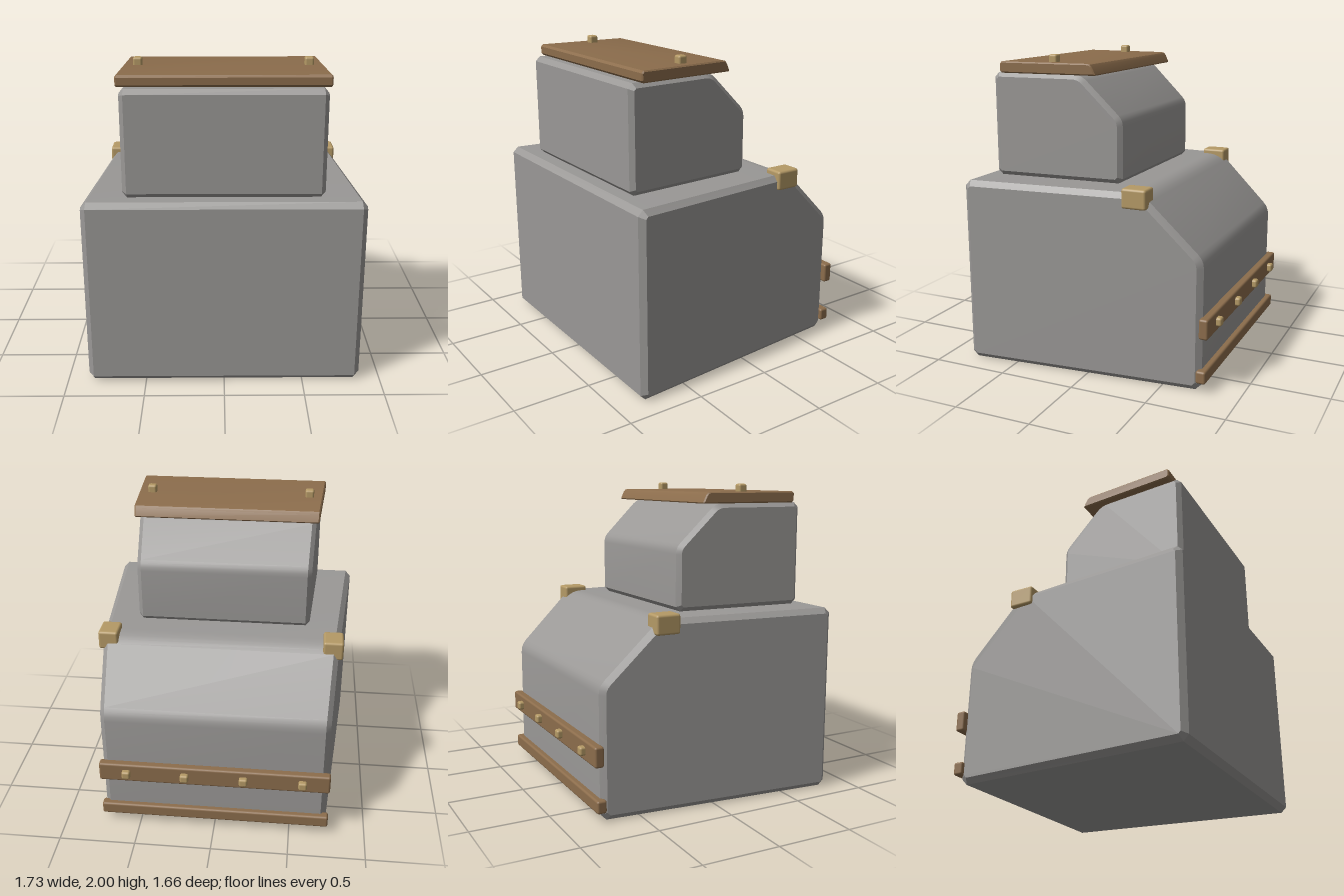
import * as THREE from 'three';
import { toCreasedNormals } from 'three/addons/utils/BufferGeometryUtils.js';
import { RoundedBoxGeometry } from 'three/addons/geometries/RoundedBoxGeometry.js';

const stone = new THREE.MeshStandardMaterial({ name: 'grey stone', color: 0x9a9896 });
const wood = new THREE.MeshStandardMaterial({ name: 'brown wood', color: 0x8c6d4c });
const brass = new THREE.MeshStandardMaterial({ name: 'dull brass', color: 0xb59a66 });

// Outline from [z, y, cut] corners; each corner is trimmed back by its cut and bent in `steps` pieces
function outline(corners) {
  const points = [];
  corners.forEach(([z, y, cut, steps = 1], i) => {
    const p = new THREE.Vector2(z, y);
    const n = corners.length;
    const toward = (c) => new THREE.Vector2(c[0], c[1]).sub(p).setLength(cut).add(p);
    const a = toward(corners[(i + n - 1) % n]);
    const b = toward(corners[(i + 1) % n]);
    points.push(...new THREE.QuadraticBezierCurve(a, p, b).getPoints(steps));
  });
  return new THREE.Shape(points);
}

// Side profile extruded across x, with chamfered flanks, narrowing from front to back
function taperedSolid(name, material, corners, halfFront, halfBack, bevel) {
  const geometry = new THREE.ExtrudeGeometry(outline(corners), {
    depth: 2 - 2 * bevel / halfFront, bevelEnabled: true, bevelSegments: 1,
    bevelSize: bevel, bevelThickness: bevel / halfFront, bevelOffset: -bevel, steps: 1,
  });
  geometry.rotateY(-Math.PI / 2);
  geometry.computeBoundingBox();
  const { min, max } = geometry.boundingBox;
  const middle = (min.x + max.x) / 2;
  const pos = geometry.attributes.position;
  for (let i = 0; i < pos.count; i++) {
    const t = (pos.getZ(i) - min.z) / (max.z - min.z);
    pos.setX(i, (pos.getX(i) - middle) * THREE.MathUtils.lerp(halfBack, halfFront, t));
  }
  const mesh = new THREE.Mesh(toCreasedNormals(geometry, 0.45), material);
  mesh.name = name;
  return mesh;
}

function block(name, material, [w, h, d], [x, y, z], radius) {
  const mesh = new THREE.Mesh(new RoundedBoxGeometry(w, h, d, 2, radius), material);
  mesh.name = name;
  mesh.position.set(x, y, z);
  return mesh;
}

export function createModel() {
  const model = new THREE.Group();
  model.name = 'steppedBlock';

  // Stone masses with sloping backs
  model.add(taperedSolid('lowerBody', stone, [
    [0.83, 0, 0.035], [0.83, 1.21, 0.035], [-0.36, 1.21, 0.07, 4],
    [-0.75, 0.83, 0.05, 3], [-0.75, 0, 0.04],
  ], 0.87, 0.735, 0.035));
  model.add(taperedSolid('upperBody', stone, [
    [0.735, 1.21, 0.03], [0.735, 1.88, 0.03], [0.13, 1.88, 0.05, 4],
    [-0.148, 1.61, 0.04, 3], [-0.148, 1.21, 0.03],
  ], 0.62, 0.57, 0.028));

  // Roof board with a slanted back edge
  model.add(taperedSolid('roofBoard', wood, [
    [0.67, 1.88, 0.014], [0.67, 1.952, 0.014], [0.045, 1.952, 0.02, 2], [0.01, 1.88, 0.008],
  ], 0.643, 0.603, 0.008));

  // Paired roof studs and corner brackets
  for (const side of [-1, 1]) {
    model.add(block('roofStud', brass, [0.058, 0.07, 0.058], [side * 0.532, 1.965, 0.33], 0.014));
    model.add(block('cornerBracket', brass, [0.13, 0.125, 0.162], [side * 0.73, 1.18, -0.328], 0.016));
  }

  // Rear boards and their studs
  model.add(block('upperRearBoard', wood, [1.51, 0.13, 0.06], [0, 0.413, -0.768], 0.014));
  model.add(block('lowerRearBoard', wood, [1.51, 0.082, 0.064], [0, 0.1, -0.755], 0.014));
  for (const x of [-0.577, -0.194, 0.19, 0.573]) {
    model.add(block('rearStud', brass, [0.056, 0.056, 0.05], [x, 0.413, -0.807], 0.014));
  }
  return model;
}
